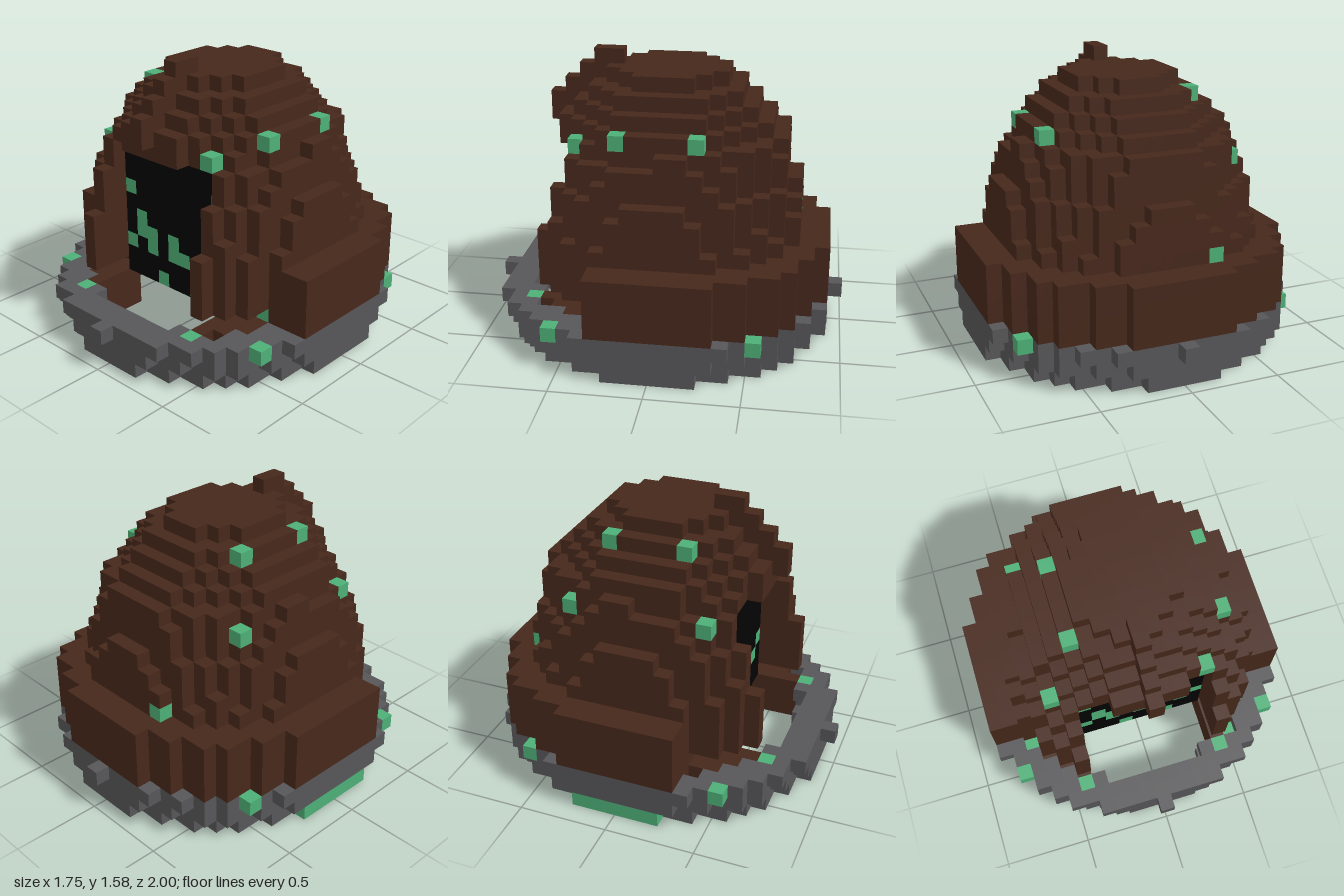
import * as THREE from 'three';

const U = 1 / 12; // block size; x blocks are centred on whole numbers, z blocks on halves

// Half widths of the stone ring's layers, row by row from the outer z edge inwards
const RING = [
  [2, 4, 6, 7, 8, 8, 9, 9, 10, 10, 10],
  [3, 5, 7, 8, 8, 9, 9, 10, 10, 10, 10],
  [4, 6, 7, 8, 9, 9, 10, 10, 10, 10, 10],
];
const FLARE = RING[1]; // foot of the earth dome
const HOLE = [-1, -1, 3, 5, 6, 7, 7, 8, 8, 8, 8]; // opening in the ring's top layer
// Dome half width per layer, starting at layer 7
const DOME = [8.95, 8.6, 8.4, 8.2, 7.8, 7.7, 7.3, 6.45, 5.7, 4.7, 3.6];

const inRows = (rows, i, z) => Math.abs(z) < 11 && Math.abs(i) <= rows[10.5 - Math.abs(z)];
const inOval = (w, i, z) => (i / w) ** 2 + (z / (w + 0.5)) ** 2 <= 1;
const domeWidth = (layer) => DOME[Math.max(layer, 7) - 7];
const inDoorway = (i, z) => z > 4 && Math.abs(i) <= 4;

function isStone(i, j, z) {
  if (j > 2) return false;
  if (j === 2 && i === 0 && Math.abs(z) === 11.5) return true; // front and back studs
  if (!inRows(RING[j], i, z)) return false;
  if (j === 2) return !inRows(HOLE, i, z);
  const next = Math.abs(z) + 1; // lower layers are a thin wall
  return !(inRows(RING[j], Math.abs(i) + 1, next));
}

// Earth lining that continues the dome down inside the ring
const isLining = (i, j, z) =>
  j < 3 && !inDoorway(i, z) && (z > 4 ? inOval(DOME[0], i, z) : inRows(HOLE, i, z) || inRows(RING[j], i, z)) &&
  (z > 4 || !inOval(7.4, i, z));

function isEarth(i, j, z) {
  if (j < 3 || j > 17) return false;
  let inside;
  if (j < 7) inside = z < 4 ? inRows(FLARE, i, z) : j > 3 && inOval(DOME[0], i, z);
  else inside = inOval(j === 13 && z > 0 ? 6.6 : domeWidth(j), i, z);
  if (!inside) return false;
  if (j <= 12 && inDoorway(i, z)) return false;
  return !(j <= 14 && z < 4 && inOval(domeWidth(j) - 2.2, i, z)); // hollow room
}

const isPanel = (i, j, z) => z > 2 && z < 5 && Math.abs(i) <= 4 && j >= 3 && j <= 12;

// Crest blocks over the doorway: layer, z
const CREST = [[18, 3.5], [18, 4.5], [17, 4.5], [17, 5.5], [16, 5.5], [16, 6.5], [15, 6.5], [15, 7.5], [14, 7.5]];

// Moss on the doorway panel, running through its depth: x, layer
const PANEL_MOSS = [
  [-4, 12], [-4, 9], [-3, 7], [-3, 6], [-2, 6], [-2, 5], [-4, 5], [0, 6],
  [0, 5], [1, 5], [3, 5], [4, 6], [4, 10], [-1, 3], [2, 3],
];

// Moss blocks on the dome and ring: x, layer, z
const MOSS = [
  [-4, 16, 2.5], [-4, 16, -2.5], [6, 14, 2.5], [6, 14, -2.5],
  [-6, 12, 4.5], [-6, 12, -4.5], [4, 13, 5.5], [7, 3, 3.5], [-3, 7, -8.5],
  [9, 2, 6.5], [9, 2, -6.5], [-9, 2, 6.5], [-9, 2, -6.5],
  [-5, 2, 8.5], [5, 2, 8.5],
];
const SUNKEN_MOSS = [[-8, 1, 4.5], [6, 1, 7.5]]; // in pits of the ring's top layer

const key = (i, j, z) => `${i},${j},${z}`;

function fillBlocks() {
  const blocks = new Map();
  const put = (part, i, j, z) => blocks.set(key(i, j, z), { part, at: [i, j, z] });
  for (let j = 0; j < 18; j++)
    for (let i = -10; i <= 10; i++)
      for (let z = -11.5; z < 12; z++) {
        if (isStone(i, j, z)) put('stoneRing', i, j, z);
        else if (isLining(i, j, z)) put('earthLining', i, j, z);
        else if (isPanel(i, j, z)) put('doorwayPanel', i, j, z);
        else if (isEarth(i, j, z)) put('earthDome', i, j, z);
      }
  for (const [j, z] of CREST) put('crest', 0, j, z);
  for (const [i, j] of PANEL_MOSS)
    for (const z of [2.5, 3.5, 4.5]) put('panelMoss', i, j, z);
  for (const [i, j, z] of MOSS) put('mossPatches', i, j, z);
  for (const [i, j, z] of SUNKEN_MOSS) {
    put('mossPatches', i, j, z);
    blocks.delete(key(i, j + 1, z));
  }
  for (let z = -2.5; z < 3; z++) put('mossPatches', -10, 0, z); // long patch at the foot
  return blocks;
}

// Outer faces of all blocks belonging to one part
function blockGeometry(blocks, part) {
  const positions = [], normals = [], indices = [];
  for (const block of blocks.values()) {
    if (block.part !== part) continue;
    const [i, j, z] = block.at;
    const centre = [i, j + 0.5, z];
    for (let axis = 0; axis < 3; axis++)
      for (const side of [-1, 1]) {
        const next = [i, j, z];
        next[axis] += side;
        if (blocks.has(key(...next))) continue;
        const u = (axis + 1) % 3, v = (axis + 2) % 3;
        const start = positions.length / 3;
        for (const [a, b] of [[-1, -1], [1, -1], [1, 1], [-1, 1]]) {
          const p = [...centre], n = [0, 0, 0];
          p[axis] += side / 2;
          p[u] += (a * side) / 2;
          p[v] += b / 2;
          n[axis] = side;
          positions.push(...p.map((c) => c * U));
          normals.push(...n);
        }
        indices.push(start, start + 1, start + 2, start, start + 2, start + 3);
      }
  }
  const geometry = new THREE.BufferGeometry();
  geometry.setAttribute('position', new THREE.Float32BufferAttribute(positions, 3));
  geometry.setAttribute('normal', new THREE.Float32BufferAttribute(normals, 3));
  geometry.setIndex(indices);
  return geometry;
}

export function createModel() {
  const material = (name, color) => {
    const m = new THREE.MeshStandardMaterial({ color });
    m.name = name;
    return m;
  };
  const earth = material('brown earth', 0x47281b);
  const stone = material('grey stone', 0x575759);
  const moss = material('green moss', 0x4eb077);
  const dark = material('black', 0x030303);

  const parts = {
    stoneRing: stone, earthLining: earth, earthDome: earth, crest: earth,
    doorwayPanel: dark, panelMoss: moss, mossPatches: moss,
  };
  const blocks = fillBlocks();
  const group = new THREE.Group();
  group.name = 'moundHut';
  for (const [name, mat] of Object.entries(parts)) {
    const mesh = new THREE.Mesh(blockGeometry(blocks, name), mat);
    mesh.name = name;
    group.add(mesh);
  }
  return group;
}
